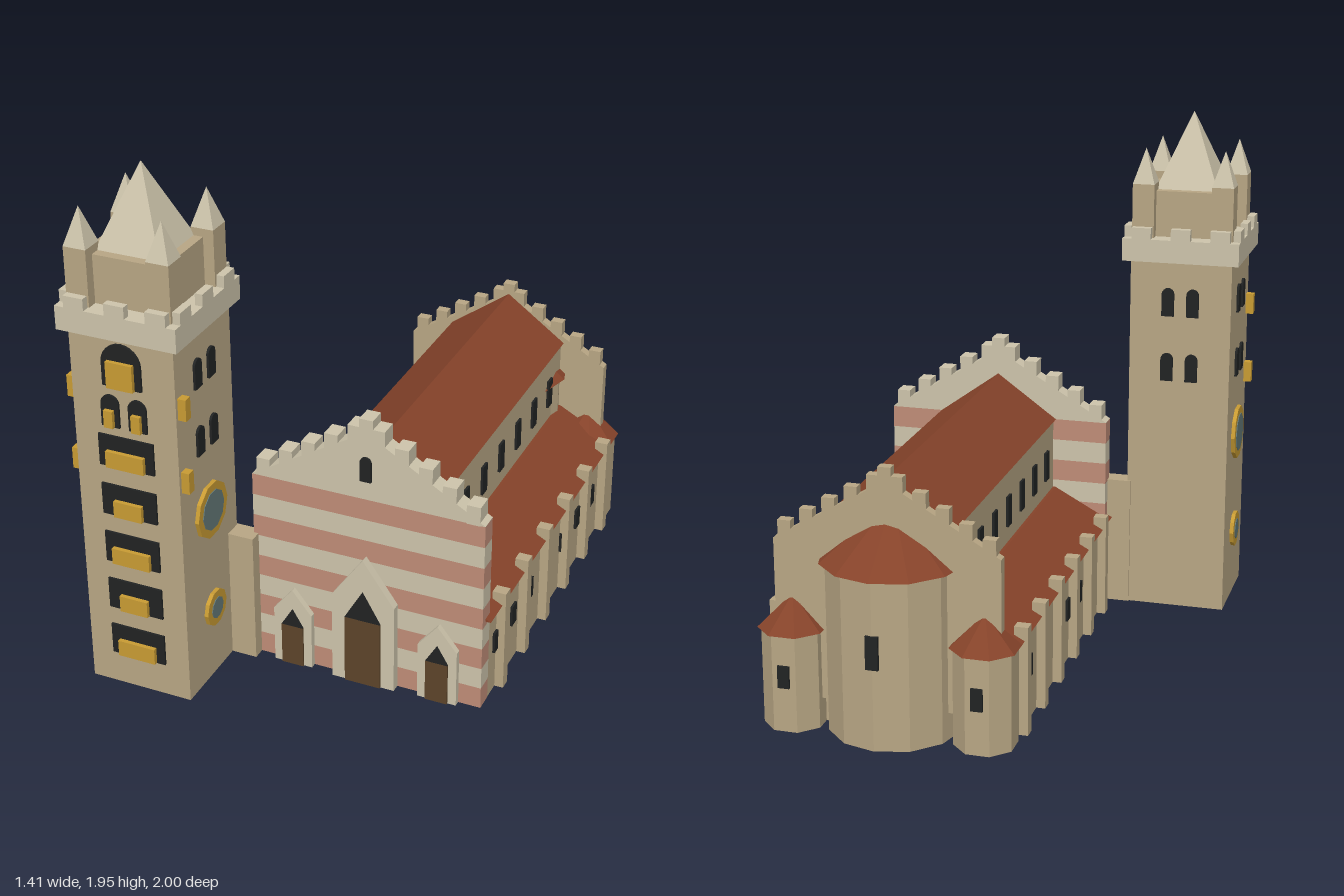
import * as THREE from 'three';

const mat = (name, color) => {
  const m = new THREE.MeshStandardMaterial({ color, flatShading: true });
  m.name = name;
  return m;
};

export function createModel() {
  const root = new THREE.Group();
  root.name = 'churchWithBellTower';
  const stone = mat('tan stone', 0xb8a684), cream = mat('cream stone', 0xcdc4ab), rose = mat('rose stone', 0xbf8c77);
  const tile = mat('roof tile', 0x86432a), dark = mat('dark opening', 0x212323), gold = mat('gold', 0xc89b33);
  const wood = mat('door wood', 0x5c442a), glass = mat('blue grey glass', 0x647978);

  const add = (parent, name, geo, material, x = 0, y = 0, z = 0) => {
    const m = new THREE.Mesh(geo, material);
    m.name = name;
    m.position.set(x, y, z);
    parent.add(m);
    return m;
  };
  // box given by its centre in x and z and by its lower and upper y
  const box = (parent, name, material, x, z, w, d, y0, y1) =>
    add(parent, name, new THREE.BoxGeometry(w, y1 - y0, d), material, x, (y0 + y1) / 2, z);
  const poly = (pts) => new THREE.Shape(pts.map((p) => new THREE.Vector2(...p)));
  const prism = (parent, name, material, shape, z0, z1, x = 0) =>
    add(parent, name, new THREE.ExtrudeGeometry(shape, { depth: z1 - z0, bevelEnabled: false, curveSegments: 6 }), material, x, 0, z0);
  const arch = (cx, hw, y0, y1) => {
    const s = new THREE.Shape();
    s.moveTo(cx - hw, y0);
    s.lineTo(cx + hw, y0);
    s.lineTo(cx + hw, y1 - hw);
    s.absarc(cx, y1 - hw, hw, 0, Math.PI, false);
    return s;
  };
  const group = (name, x, z) => {
    const g = new THREE.Group();
    g.name = name;
    g.position.set(x, 0, z);
    root.add(g);
    return g;
  };

  // ---------- bell tower ----------
  const tower = group('bellTower', -0.485, 0.778);
  const T = 0.196;
  box(tower, 'towerShaft', stone, 0, 0, 2 * T, 2 * T, 0, 1.4);
  box(tower, 'towerParapet', cream, 0, 0, 0.45, 0.45, 1.4, 1.487);
  box(tower, 'belfry', stone, 0, 0, 0.31, 0.31, 1.487, 1.663);
  const pyramid = (name, x, z, half, y0, y1) => {
    const geo = new THREE.ConeGeometry(half * Math.SQRT2, y1 - y0, 4).rotateY(Math.PI / 4);
    add(tower, name, geo, cream, x, (y0 + y1) / 2, z);
  };
  pyramid('spire', 0, 0, 0.12, 1.663, 1.95);
  for (const sx of [-1, 1]) for (const sz of [-1, 1]) {
    box(tower, 'pinnacleShaft', stone, sx * 0.152, sz * 0.152, 0.084, 0.084, 1.487, 1.692);
    pyramid('pinnacleSpire', sx * 0.152, sz * 0.152, 0.042, 1.692, 1.826);
  }
  for (const s of [-1, 1]) for (const o of [-0.152, 0, 0.152]) {
    box(tower, 'merlon', cream, o, s * 0.211, 0.075, 0.028, 1.487, 1.53);
    box(tower, 'merlon', cream, s * 0.211, o, 0.028, 0.075, 1.487, 1.53);
  }
  // front openings with gold balconies
  const front = T + 0.009;
  for (let i = 0; i < 5; i++) {
    const y = 0.13 + i * 0.1935;
    box(tower, 'wideOpening', dark, 0, T + 0.004, 0.21, 0.009, y, y + 0.12);
    box(tower, 'balcony', gold, 0, T + 0.012, i % 2 ? 0.108 : 0.145, 0.025, y + 0.003, y + 0.065);
  }
  for (const s of [-1, 1]) {
    prism(tower, 'twinOpening', dark, arch(s * 0.052, 0.034, 1.06, 1.18), T - 0.001, front);
    box(tower, 'twinBalcony', gold, s * 0.052, T + 0.012, 0.034, 0.025, 1.063, 1.127);
  }
  prism(tower, 'bellOpening', dark, arch(0, 0.074, 1.216, 1.378), T - 0.001, front);
  box(tower, 'bellBalcony', gold, 0, T + 0.012, 0.1, 0.025, 1.216, 1.314);
  // arched windows on the sides and the back
  for (const turn of [Math.PI / 2, -Math.PI / 2, Math.PI]) {
    const side = new THREE.Group();
    side.name = 'towerSideWindows';
    side.rotation.y = turn;
    tower.add(side);
    for (const cx of [-0.048, 0.048]) for (const y of [0.93, 1.187])
      prism(side, 'archedWindow', dark, arch(cx, 0.024, y, y + 0.11), T - 0.001, front);
  }
  // rosettes and gold brackets on both sides
  const disc = (r, d) => new THREE.CylinderGeometry(r, r, d, 10).rotateZ(Math.PI / 2);
  for (const s of [-1, 1]) {
    for (const [y, r, g] of [[0.685, 0.106, 0.076], [0.278, 0.07, 0.041]]) {
      add(tower, 'rosetteRim', disc(r, 0.03), gold, s * T, y, 0);
      add(tower, 'rosetteGlass', disc(g, 0.036), glass, s * T, y, 0);
    }
    for (const y of [0.85, 1.13]) box(tower, 'goldBracket', gold, s * (T + 0.014), 0.167, 0.032, 0.033, y, y + 0.08);
  }

  // ---------- church ----------
  const church = group('church', 0.228, 0);
  box(church, 'linkWall', stone, -0.475, 0.612, 0.11, 0.076, 0, 0.507);
  box(church, 'aisleWalls', stone, 0, -0.125, 0.874, 1.33, 0, 0.352);
  prism(church, 'aisleRoof', tile, poly([[-0.458, 0.35], [0.458, 0.35], [0.235, 0.47], [-0.235, 0.47]]), -0.79, 0.575);
  box(church, 'naveWalls', stone, 0, -0.125, 0.45, 1.33, 0.4, 0.752);
  prism(church, 'naveRoof', tile, poly([[-0.236, 0.75], [0.236, 0.75], [0, 0.92]]), -0.79, 0.54);
  for (const s of [-1, 1]) {
    for (let i = 0; i < 6; i++) box(church, 'buttress', stone, s * 0.445, 0.44 - i * 0.228, 0.05, 0.043, 0, 0.4);
    for (let i = 0; i < 7; i++) {
      box(church, 'aisleWindow', dark, s * 0.438, 0.472 - i * 0.178, 0.016, 0.044, 0.165, 0.246);
      box(church, 'naveWindow', dark, s * 0.226, 0.42 - i * 0.179, 0.016, 0.046, 0.535, 0.65);
    }
  }

  // gable wall with stepped merlons along its slopes
  const gable = (name, material, hw, y0, eave, apex, z0, z1) => {
    prism(church, name, material, poly([[-hw, y0], [hw, y0], [hw, eave], [0, apex], [-hw, eave]]), z0, z1);
    const step = hw / 5, zc = (z0 + z1) / 2, d = z1 - z0;
    for (const s of [-1, 1]) for (let i = 0; i < 5; i++) {
      const x = (i + 0.5) * step, y = apex - (apex - eave) * x / hw;
      box(church, name + 'Merlon', material, s * x, zc, step * 0.58, d, y - 0.03, y + 0.043);
    }
    box(church, name + 'Merlon', material, 0, zc, step * 0.58, d, apex - 0.03, apex + 0.05);
  };

  // striped facade
  const F = 0.603;
  for (let i = 0; i < 9; i++)
    box(church, 'facadeStripe', i % 2 ? cream : rose, 0, 0.569, 0.876, 0.068, i * 0.0834, (i + 1) * 0.0834);
  gable('facadeGable', cream, 0.438, 0.7506, 0.7516, 1.014, 0.535, F);
  prism(church, 'facadeWindow', dark, arch(0, 0.021, 0.825, 0.92), F - 0.001, F + 0.009);

  // portals: gabled surround, door and pointed opening above it
  const portal = (x, hw, eave, apex, z, dw, dy, dApex) => {
    prism(church, 'portalSurround', cream, poly([[-hw, 0], [hw, 0], [hw, eave], [0, apex], [-hw, eave]]), F - 0.01, z, x);
    prism(church, 'door', wood, poly([[-dw, 0], [dw, 0], [dw, dy], [-dw, dy]]), z - 0.001, z + 0.007, x);
    prism(church, 'doorPoint', dark, poly([[-dw, dy], [dw, dy], [0, dApex]]), z - 0.001, z + 0.007, x);
  };
  portal(0, 0.12, 0.35, 0.52, 0.636, 0.068, 0.272, 0.39);
  for (const s of [-1, 1]) portal(s * 0.28, 0.074, 0.222, 0.314, 0.626, 0.042, 0.165, 0.235);

  // ---------- east end ----------
  gable('backGable', stone, 0.405, 0.1, 0.675, 0.913, -0.823, -0.786);
  add(church, 'mainApse', new THREE.CylinderGeometry(0.238, 0.238, 0.617, 12), stone, 0, 0.3085, -0.74);
  add(church, 'mainApseRoof', new THREE.ConeGeometry(0.26, 0.215, 12), tile, 0, 0.7225, -0.74);
  box(church, 'mainApseWindow', dark, 0, -0.975, 0.045, 0.02, 0.3, 0.42);
  for (const s of [-1, 1]) {
    const x = s * 0.345, z = -0.81;
    const turn = (g) => g.rotateY(Math.PI / 8);
    add(church, 'sideApse', turn(new THREE.CylinderGeometry(0.112, 0.112, 0.357, 8)), stone, x, 0.1785, z);
    add(church, 'sideApseRoof', turn(new THREE.ConeGeometry(0.125, 0.12, 8)), tile, x, 0.415, z);
    box(church, 'sideApseWindow', dark, x, z - 0.105, 0.042, 0.016, 0.165, 0.246);
  }
  return root;
}
